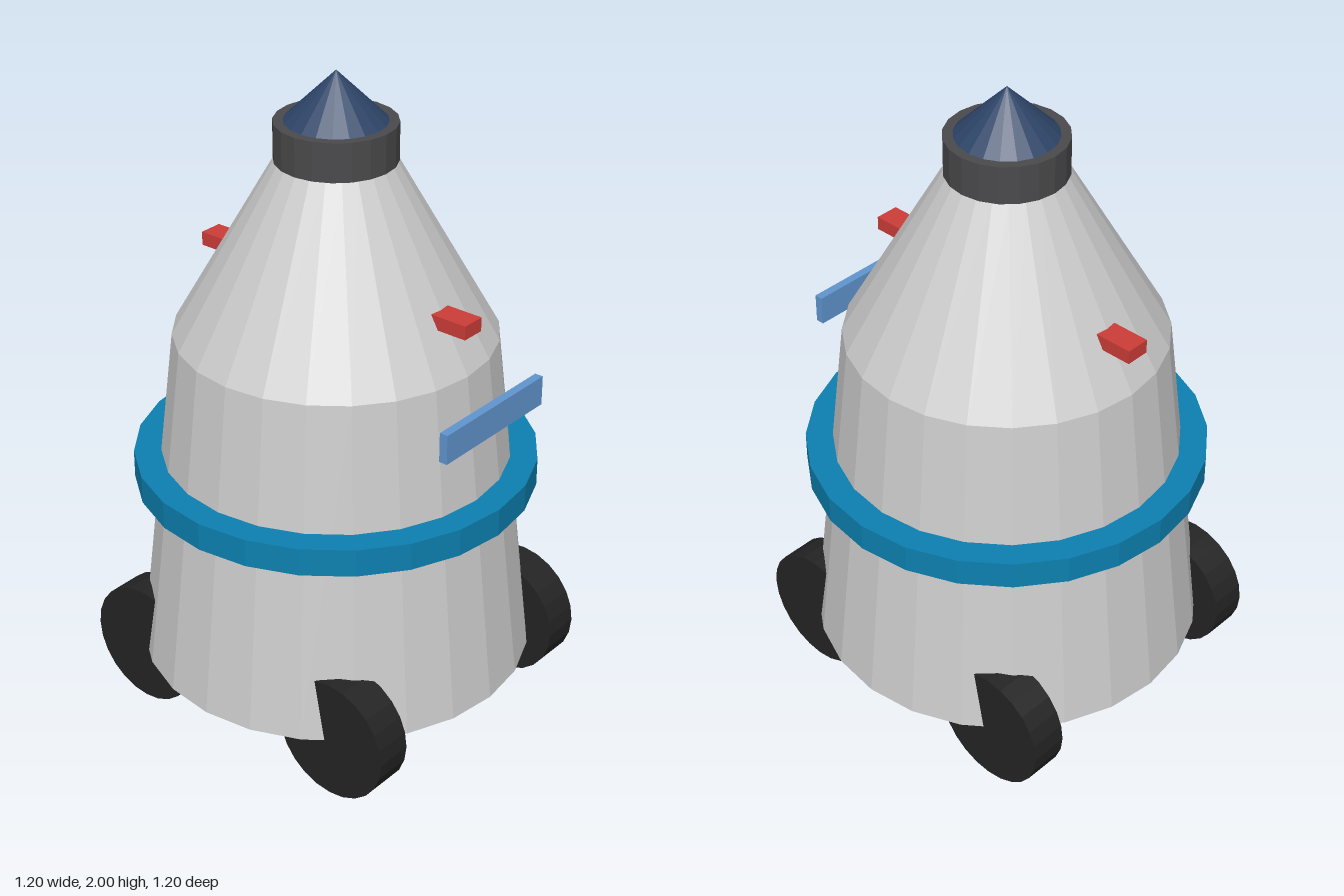
import * as THREE from 'three';

const mat = (name, color) => {
  const m = new THREE.MeshStandardMaterial({ color, flatShading: true });
  m.name = name;
  return m;
};

export function createModel() {
  const hullGrey = mat('hull grey', 0xcccccc);
  const collarGrey = mat('collar grey', 0x4a4a4c);
  const noseNavy = mat('nose navy', 0x2e4568);
  const ringBlue = mat('ring blue', 0x0d80b0);
  const tyreBlack = mat('tyre black', 0x242424);
  const red = mat('signal red', 0xcc3d38);
  const plateBlue = mat('plate blue', 0x6096d0);

  const model = new THREE.Group();
  model.name = 'capsule';
  const add = (name, geometry, material, x, y, z) => {
    const mesh = new THREE.Mesh(geometry, material);
    mesh.name = name;
    mesh.position.set(x, y, z);
    model.add(mesh);
    return mesh;
  };
  // Upright round section between two heights
  const section = (name, rTop, rBottom, y0, y1, sides, material) =>
    add(name, new THREE.CylinderGeometry(rTop, rBottom, y1 - y0, sides), material, 0, (y0 + y1) / 2, 0);

  // Stacked hull, from the base up to the nose
  section('lowerHull', 0.475, 0.595, 0.18, 1.215, 24, hullGrey);
  section('upperHull', 0.175, 0.475, 1.215, 1.74, 24, hullGrey);
  section('collar', 0.177, 0.177, 1.74, 1.855, 20, collarGrey);
  section('noseCone', 0, 0.148, 1.855, 2, 20, noseNavy);
  section('beltRing', 0.6, 0.6, 0.748, 0.833, 24, ringBlue);

  for (const side of [1, -1]) {
    const label = side > 0 ? 'left' : 'right';
    // Short red stubs through the upper hull
    add(label + 'Stub', new THREE.BoxGeometry(0.2, 0.042, 0.074), red, side * 0.388, 1.368, 0);
    // Wheels, half sunk into the base
    for (const end of [1, -1]) {
      const geometry = new THREE.CylinderGeometry(0.19, 0.19, 0.116, 24).rotateX(Math.PI / 2);
      add(label + (end > 0 ? 'FrontWheel' : 'BackWheel'), geometry, tyreBlack, side * 0.371, 0.191, end * 0.416);
    }
  }

  // Plate standing off the left side
  add('sidePlate', new THREE.BoxGeometry(0.026, 0.09, 0.444), plateBlue, 0.562, 1.115, 0);

  return model;
}
